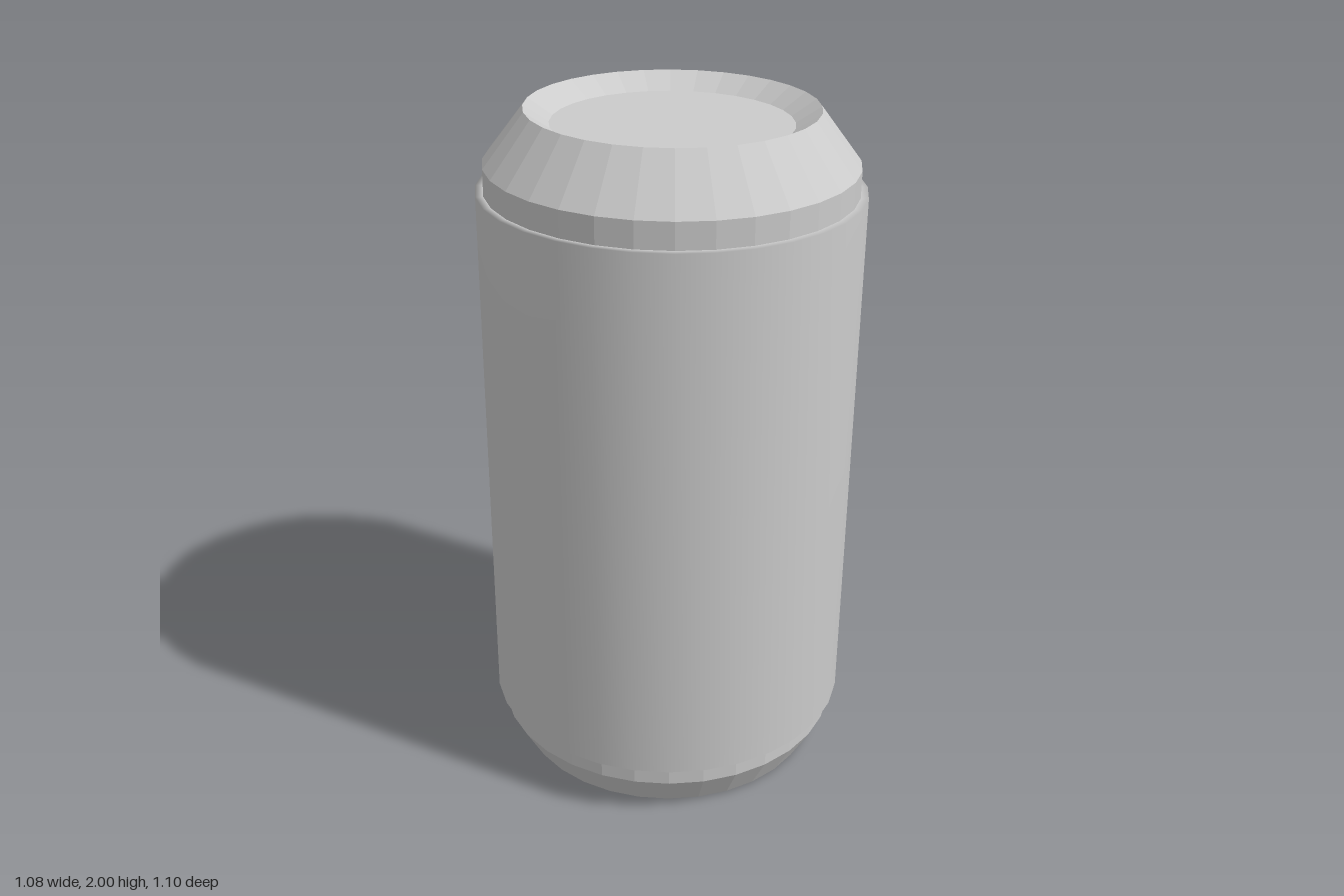
import * as THREE from 'three';

const SIDES = 32;

// Revolves [radius, height] pairs, listed from bottom to top along the outside
function revolve(name, profile, flatShading) {
  const points = profile.map(([r, y]) => new THREE.Vector2(r, y));
  const material = new THREE.MeshStandardMaterial({ color: 0xcccccc, flatShading });
  const mesh = new THREE.Mesh(new THREE.LatheGeometry(points, SIDES), material);
  mesh.name = name;
  return mesh;
}

export function createModel() {
  const can = new THREE.Group();
  can.name = 'drinkCan';

  // Faceted shell: flat base, bevelled shoulders, recessed lid
  can.add(revolve('shell', [
    [0, -0.994], [0.463, -0.994], [0.52, -0.89], [0.52, 0.845],
    [0.405, 0.995], [0.335, 0.95], [0, 0.95],
  ], true));

  // Smooth-shaded label sleeve with thin ledges at both ends
  can.add(revolve('sleeve', [
    [0.518, -0.83], [0.542, -0.83], [0.542, 0.77], [0.518, 0.77],
  ], false));

  // The can leans back very slightly
  can.rotation.x = -0.0125;
  can.position.y = 1;

  const model = new THREE.Group();
  model.name = 'can';
  model.add(can);
  return model;
}
